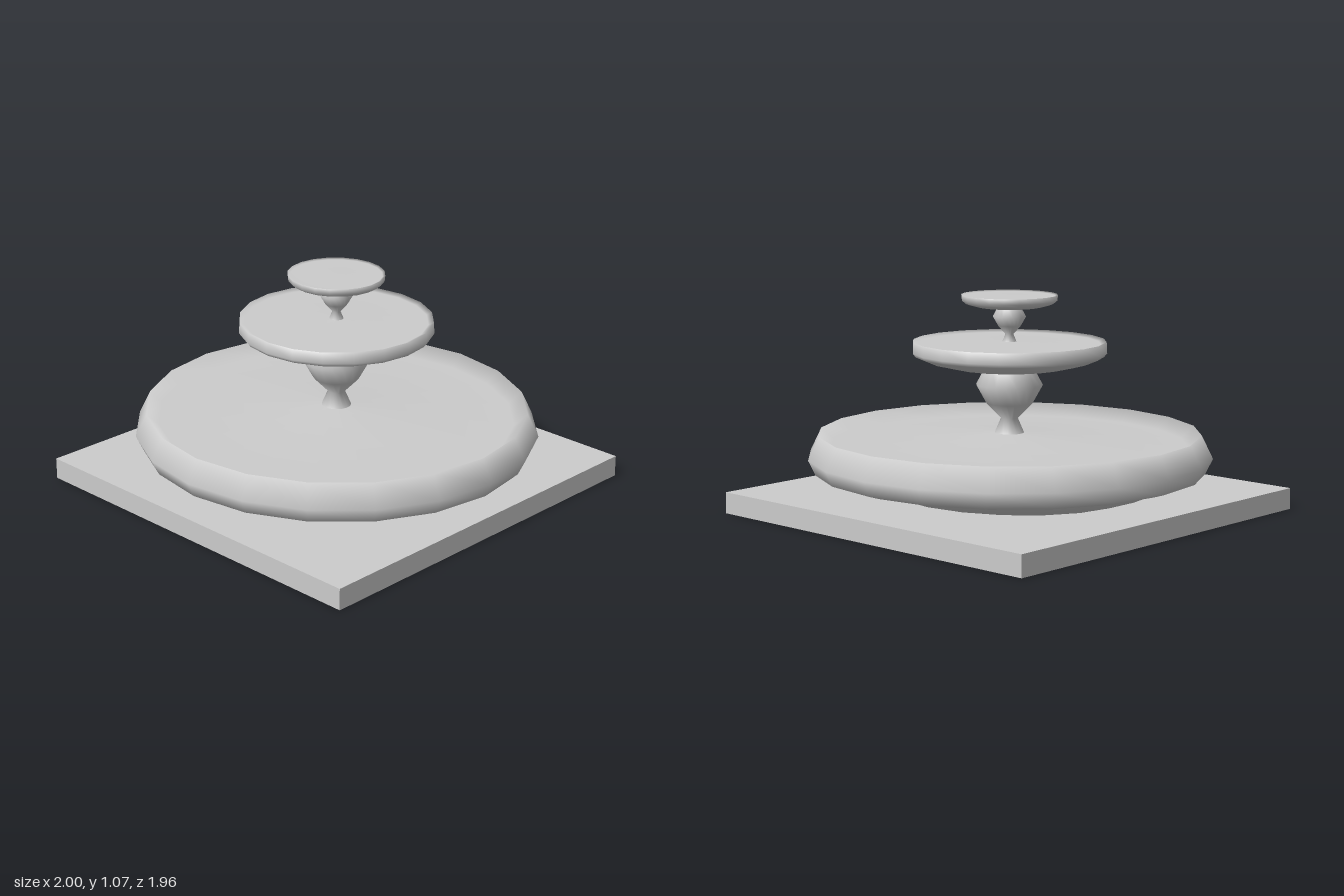
import * as THREE from 'three';

const SIDES = 20;
const DEPTH = 0.977; // round parts are slightly narrower front to back

export function createModel() {
  const group = new THREE.Group();
  const material = new THREE.MeshStandardMaterial({ color: 0xcccccc, side: THREE.DoubleSide });

  // Smooth turned part from a [radius, height] profile, underside first
  function turned(name, profile, depth = DEPTH) {
    const points = profile.map(([r, y]) => new THREE.Vector2(r, y));
    const geometry = new THREE.LatheGeometry(points, SIDES);
    geometry.scale(1, 1, depth);
    const mesh = new THREE.Mesh(geometry, material);
    mesh.name = name;
    group.add(mesh);
  }

  // Square plinth
  const plinth = new THREE.Mesh(new THREE.BoxGeometry(1.96, 0.105, 1.96), material);
  plinth.name = 'plinth';
  plinth.position.y = 0.0525;
  group.add(plinth);

  // Oval foot under the main basin
  turned('basinFoot', [[0.64, 0.105], [0.785, 0.152], [0.82, 0.192]], 0.878);

  // Wide lower basin: raised rim around a floor that rises gently to the stem
  turned('lowerBasin', [
    [0.6, 0.188], [0.9, 0.192], [0.965, 0.212], [1, 0.285],
    [0.945, 0.397], [0.88, 0.338], [0.07, 0.394],
  ]);

  // Vase-shaped stems
  turned('lowerStem', [
    [0.073, 0.393], [0.042, 0.465], [0.115, 0.54],
    [0.165, 0.63], [0.125, 0.705],
  ]);
  turned('upperStem', [
    [0.036, 0.838], [0.02, 0.877], [0.056, 0.918],
    [0.082, 0.963], [0.06, 1.003],
  ]);

  // Shallow bowls with a slight lip
  turned('middleBowl', [
    [0, 0.697], [0.15, 0.702], [0.29, 0.719], [0.4, 0.745], [0.465, 0.772],
    [0.48, 0.79], [0.477, 0.844], [0.45, 0.832], [0, 0.842],
  ]);
  turned('topBowl', [
    [0, 1], [0.085, 1.002], [0.16, 1.011], [0.215, 1.026],
    [0.235, 1.042], [0.238, 1.069], [0.225, 1.063], [0, 1.067],
  ]);

  return group;
}
